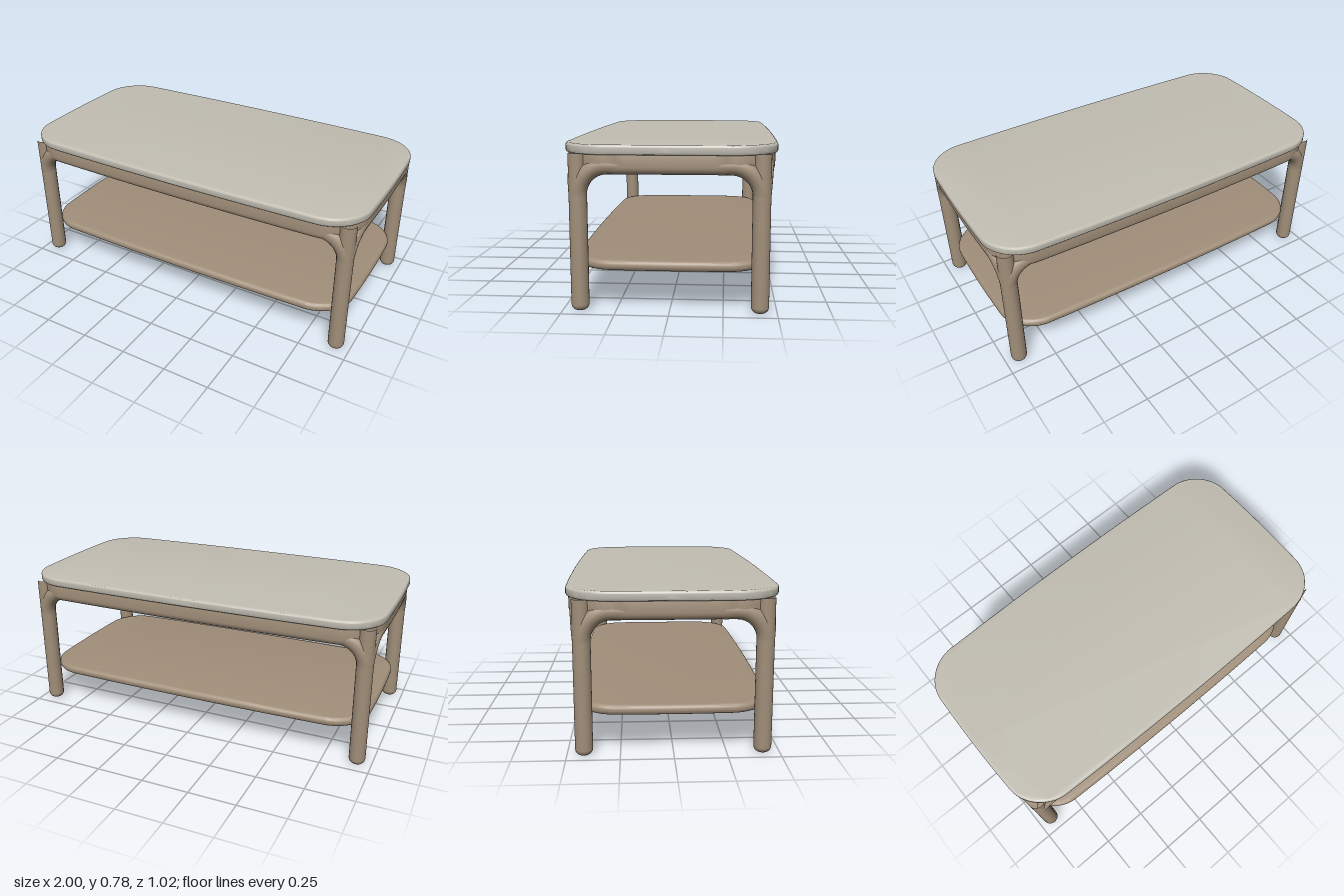
import * as THREE from 'three';
import { toCreasedNormals } from 'three/addons/utils/BufferGeometryUtils.js';

const LEG_X = 0.925, LEG_Z = 0.42, LEG_R = 0.042;

// Rounded rectangle whose sides bow out slightly toward the middle
function outline(a, b, r) {
  const pts = [];
  const corners = [[1, 1], [-1, 1], [-1, -1], [1, -1]];
  const add = (x, y) => pts.push(new THREE.Vector2(
    x * (1 - 0.015 * (y / b) ** 2), y * (1 - 0.035 * (x / a) ** 2)));
  corners.forEach(([sx, sy], i) => {
    const cx = sx * (a - r), cy = sy * (b - r);
    for (let k = 0; k <= 14; k++) {
      const t = (i + k / 14) * Math.PI / 2;
      add(cx + r * Math.cos(t), cy + r * Math.sin(t));
    }
    // intermediate points along the straight run to the next corner
    const [nx, ny] = corners[(i + 1) % 4];
    const ex = i % 2 ? sx * a : cx, ey = i % 2 ? cy : sy * b;
    const fx = i % 2 ? nx * a : nx * (a - r), fy = i % 2 ? ny * (b - r) : ny * b;
    for (let k = 1; k < 12; k++) add(ex + (fx - ex) * k / 12, ey + (fy - ey) * k / 12);
  });
  return pts;
}

// Horizontal slab with rounded edges; rim > 0 leaves only a frame of that width
function slab(a, b, r, y0, y1, bevel, rim = 0) {
  const shape = new THREE.Shape(outline(a - bevel, b - bevel, r - bevel));
  if (rim) {
    const inset = rim - bevel;
    shape.holes.push(new THREE.Path(outline(a - inset, b - inset, r - inset).reverse()));
  }
  const geo = new THREE.ExtrudeGeometry(shape, {
    depth: y1 - y0 - 2 * bevel, bevelEnabled: bevel > 0,
    bevelSize: bevel, bevelThickness: bevel, bevelSegments: 6,
  });
  geo.rotateX(-Math.PI / 2);
  geo.translate(0, y0 + bevel, 0);
  return toCreasedNormals(geo, 0.6);
}

// Quarter bend that blends a leg into the apron
function bend(dx, dz, shiftX, shiftZ) {
  const pts = [];
  const R = 0.14;
  for (let i = 0; i <= 10; i++) {
    const t = i / 10 * Math.PI / 2, run = R * (1 - Math.cos(t)), f = i / 10;
    pts.push(new THREE.Vector3(
      LEG_X - dx * run + shiftX * f, 0.545 + R * Math.sin(t), LEG_Z - dz * run + shiftZ * f));
  }
  const last = pts[pts.length - 1];
  pts.push(new THREE.Vector3(last.x - dx * 0.06, last.y, last.z - dz * 0.06));
  return new THREE.TubeGeometry(new THREE.CatmullRomCurve3(pts), 28, LEG_R, 20);
}

export function createModel() {
  const group = new THREE.Group();
  const stone = new THREE.MeshStandardMaterial({ color: 0xc2beb3 });
  stone.name = 'paleStone';
  const wood = new THREE.MeshStandardMaterial({ color: 0xa08e79 });
  wood.name = 'warmWood';

  const add = (parent, name, geo, mat) => {
    const mesh = new THREE.Mesh(geo, mat);
    mesh.name = name;
    parent.add(mesh);
    return mesh;
  };

  // Top, supporting frame and lower shelf
  add(group, 'tableTop', slab(1, 0.51, 0.2, 0.736, 0.782, 0.012), stone);
  add(group, 'apron', slab(0.985, 0.497, 0.19, 0.645, 0.775, 0.035, 0.09), wood);
  add(group, 'undersidePanel', slab(0.95, 0.46, 0.16, 0.7, 0.74, 0), wood);
  add(group, 'shelf', slab(0.95, 0.475, 0.19, 0.193, 0.241, 0.022), wood);

  // Round leg with a softened foot
  const profile = [new THREE.Vector2(0, 0), new THREE.Vector2(0.012, 0)];
  for (let i = 1; i <= 8; i++) {
    const t = i / 8 * Math.PI / 2;
    profile.push(new THREE.Vector2(0.012 + 0.03 * Math.sin(t), 0.03 * (1 - Math.cos(t))));
  }
  profile.push(new THREE.Vector2(LEG_R, 0.4), new THREE.Vector2(LEG_R, 0.74));
  const legGeo = new THREE.LatheGeometry(profile, 28);

  // Bends along the long side and along the end
  const longBend = bend(1, 0, 0, 0.02);
  const endBend = bend(0, 1, 0.015, 0);

  for (const [name, turn, mirror] of [
    ['frontLeftLeg', 1, 1], ['frontRightLeg', -1, 1],
    ['backLeftLeg', 1, -1], ['backRightLeg', -1, -1],
  ]) {
    const leg = new THREE.Group();
    leg.name = name;
    leg.scale.set(turn, 1, mirror);
    add(leg, 'post', legGeo, wood).position.set(LEG_X, 0, LEG_Z);
    add(leg, 'longSideBend', longBend, wood);
    add(leg, 'endBend', endBend, wood);
    group.add(leg);
  }
  return group;
}
